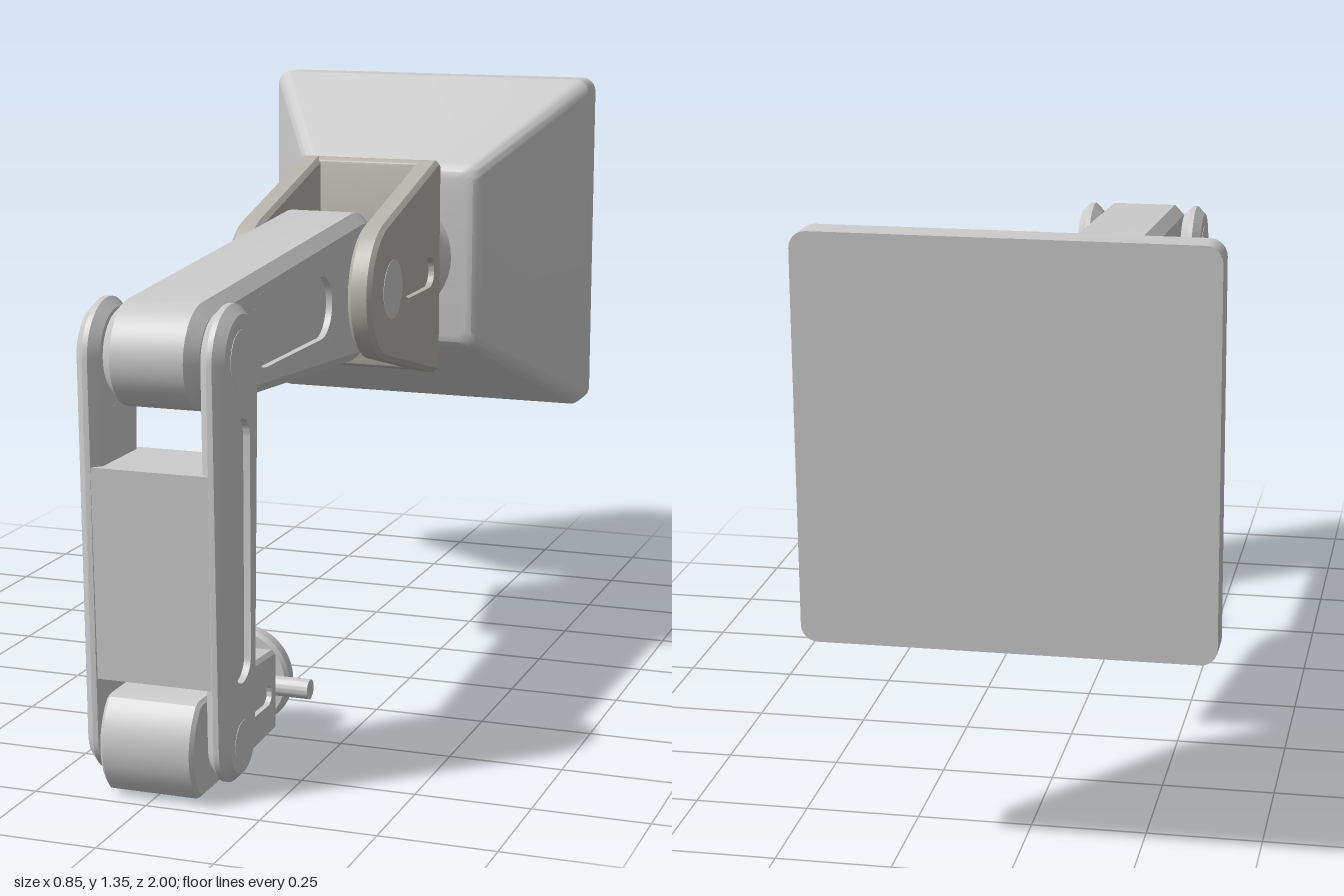
import * as THREE from 'three';
import { toCreasedNormals } from 'three/addons/utils/BufferGeometryUtils.js';

const grey = new THREE.MeshStandardMaterial({ color: 0xcccccc });
const warm = new THREE.MeshStandardMaterial({ color: 0xb5b3ab });
const AXIS_Y = 0.925, ELBOW_Z = 0.86, SHOULDER_Z = -0.065, FOOT_Y = 0.117;

function add(parent, name, geometry, material = grey) {
  const mesh = new THREE.Mesh(toCreasedNormals(geometry, 0.45), material);
  mesh.name = name;
  parent.add(mesh);
  return mesh;
}

// Convex outline around circles [z, y, radius], optionally cut flat at lo and hi
function outline(circles, lo = -9, hi = 9) {
  const pts = [];
  for (const [z, y, r] of circles) {
    for (let i = 0; i < 40; i++) {
      const a = (i / 40) * Math.PI * 2;
      const py = THREE.MathUtils.clamp(y + r * Math.sin(a), lo, hi);
      pts.push(new THREE.Vector2(z + r * Math.cos(a), py));
    }
  }
  pts.sort((a, b) => a.x - b.x || a.y - b.y);
  const chain = (list) => {
    const out = [];
    for (const p of list) {
      while (out.length > 1) {
        const a = out[out.length - 2], b = out[out.length - 1];
        if ((b.x - a.x) * (p.y - a.y) - (b.y - a.y) * (p.x - a.x) > 1e-7) break;
        out.pop();
      }
      out.push(p);
    }
    return out.slice(0, -1);
  };
  return [...chain(pts), ...chain([...pts].reverse())];
}

// Side profile extruded across x from x0 to x1, with chamfered rims
function slab(points, x0, x1, bevel = 0, hole = null) {
  const shape = new THREE.Shape(points);
  if (hole) shape.holes.push(new THREE.Path(hole));
  const g = new THREE.ExtrudeGeometry(shape, {
    depth: x1 - x0 - 2 * bevel, bevelEnabled: bevel > 0, bevelThickness: bevel,
    bevelSize: bevel, bevelOffset: -bevel, bevelSegments: 1,
  });
  return g.translate(0, 0, bevel - x1).rotateY(-Math.PI / 2);
}

// Slab with a straight-walled recessed slot; in0 and in1 are the recess depths
function slottedSlab(parent, name, points, x0, x1, bevel, slot, in0, in1, material) {
  const group = new THREE.Group();
  group.name = name;
  parent.add(group);
  const inner = outline(slot);
  const outer = outline(slot.map(([z, y, r]) => [z, y, r + bevel]));
  add(group, name + 'Body', slab(points, x0, x1, bevel, inner), material);
  add(group, name + 'SlotRim', slab(outer, x0, x1, 0, inner), material);
  add(group, name + 'SlotFloor', slab(inner, x0 + in0, x1 - in1), material);
}

// Turned part along z from [radius, z] pairs, back to front
function turned(profile, y) {
  return new THREE.LatheGeometry(profile.map((p) => new THREE.Vector2(...p)), 40)
    .rotateX(Math.PI / 2).translate(0, y, 0);
}

function pin(parent, name, r, halfLength, y, z, material) {
  const g = new THREE.CylinderGeometry(r, r, halfLength * 2, 32).rotateZ(Math.PI / 2);
  add(parent, name, g.translate(0, y, z), material);
}

// Rounded square sections [z, half size, corner radius] joined along z
function squareLoft(sections) {
  const pos = [], idx = [], steps = 6, n = 4 * (steps + 1);
  for (const [z, h, r] of sections) {
    for (let c = 0; c < 4; c++) {
      for (let i = 0; i <= steps; i++) {
        const a = (c + i / steps) * Math.PI / 2;
        const sx = c === 0 || c === 3 ? 1 : -1, sy = c < 2 ? 1 : -1;
        pos.push(sx * (h - r) + r * Math.cos(a), AXIS_Y + sy * (h - r) + r * Math.sin(a), z);
      }
    }
  }
  const last = sections.length - 1;
  for (let s = 0; s < last; s++) {
    for (let i = 0; i < n; i++) {
      const a = s * n + i, b = s * n + (i + 1) % n;
      idx.push(a, b, b + n, a, b + n, a + n);
    }
  }
  for (let i = 1; i < n - 1; i++) {
    idx.push(0, i + 1, i, last * n, last * n + i, last * n + i + 1);
  }
  const g = new THREE.BufferGeometry();
  g.setAttribute('position', new THREE.Float32BufferAttribute(pos, 3));
  g.setIndex(idx);
  return g;
}

export function createModel() {
  const model = new THREE.Group();
  model.name = 'articulatedArm';

  // Tapered mounting base and its collar
  add(model, 'mountBase', squareLoft([
    [-1, 0.427, 0.035], [-0.93, 0.427, 0.035], [-0.615, 0.238, 0.03],
    [-0.602, 0.229, 0.03], [-0.593, 0.217, 0.03], [-0.59, 0.2, 0.03],
  ]));
  add(model, 'baseCollar', turned([
    [0.168, -0.595], [0.155, -0.582], [0.15, -0.57], [0.15, -0.505], [0, -0.505],
  ], AXIS_Y));

  // Fork bracket: neck, back wall and two slotted cheeks
  const bracket = new THREE.Group();
  bracket.name = 'forkBracket';
  model.add(bracket);
  add(bracket, 'bracketNeck', turned([
    [0.125, -0.51], [0.125, -0.465], [0.13, -0.453], [0.142, -0.443], [0, -0.43],
  ], AXIS_Y), warm);
  const wall = [[-0.43, 1.172, 0.015], [-0.43, 0.678, 0.015], [-0.42, 1.172, 0.012], [-0.42, 0.678, 0.012]];
  add(bracket, 'bracketBackWall', slab(outline(wall), -0.15, 0.15), warm);
  const cheek = outline([[SHOULDER_Z, AXIS_Y, 0.165], [-0.425, 1.168, 0.02], [-0.425, 0.682, 0.02]]);
  const cheekSlot = [[-0.19, 0.922, 0.037], [-0.355, 0.922, 0.037]];
  slottedSlab(bracket, 'rightCheek', cheek, -0.18, -0.122, 0.01, cheekSlot, 0.015, 0, warm);
  slottedSlab(bracket, 'leftCheek', cheek, 0.122, 0.18, 0.01, cheekSlot, 0, 0.015, warm);
  pin(model, 'shoulderPin', 0.07, 0.181, AXIS_Y, SHOULDER_Z);

  // Upper arm
  slottedSlab(model, 'upperArm',
    outline([[ELBOW_Z, AXIS_Y, 0.112], [SHOULDER_Z, AXIS_Y, 0.175]]), -0.105, 0.105, 0.025,
    [[0.57, 0.922, 0.071], [0.22, 0.922, 0.071]], 0.015, 0.015);

  // Lower link: two side plates joined by a web
  const link = new THREE.Group();
  link.name = 'lowerLink';
  model.add(link);
  const plate = outline([[ELBOW_Z, AXIS_Y, 0.111], [ELBOW_Z, FOOT_Y, 0.087]]);
  const plateSlot = [[ELBOW_Z, 0.755, 0.046], [ELBOW_Z, 0.29, 0.046]];
  slottedSlab(link, 'rightPlate', plate, -0.161, -0.109, 0.02, plateSlot, 0.015, 0);
  slottedSlab(link, 'leftPlate', plate, 0.109, 0.161, 0.02, plateSlot, 0, 0.015);
  add(link, 'linkWeb', slab(
    outline([[ELBOW_Z, AXIS_Y, 0.104], [ELBOW_Z, FOOT_Y, 0.089]], 0.248, 0.7), -0.135, 0.135));
  pin(model, 'elbowPin', 0.06, 0.162, AXIS_Y, ELBOW_Z);
  pin(model, 'anklePin', 0.046, 0.162, FOOT_Y, ELBOW_Z);

  // Clamp block with a rounded nose
  slottedSlab(model, 'clampBlock',
    outline([[ELBOW_Z, FOOT_Y, 0.14], [0.525, 0.195, 0.015], [0.525, 0.04, 0.015]], 0.015, 0.222),
    -0.104, 0.104, 0.008, [[0.75, 0.118, 0.023], [0.565, 0.118, 0.023]], 0.012, 0.012);

  // Locking wheel with its hub, and the cross pin
  add(model, 'lockingWheel', turned([
    [0, 0.398], [0.055, 0.398], [0.063, 0.406], [0.063, 0.427], [0.107, 0.427], [0.115, 0.435],
    [0.115, 0.461], [0.107, 0.469], [0.06, 0.469], [0.06, 0.52],
  ], 0.12));
  pin(model, 'crossPin', 0.022, 0.175, 0.118, 0.49);

  return model;
}
